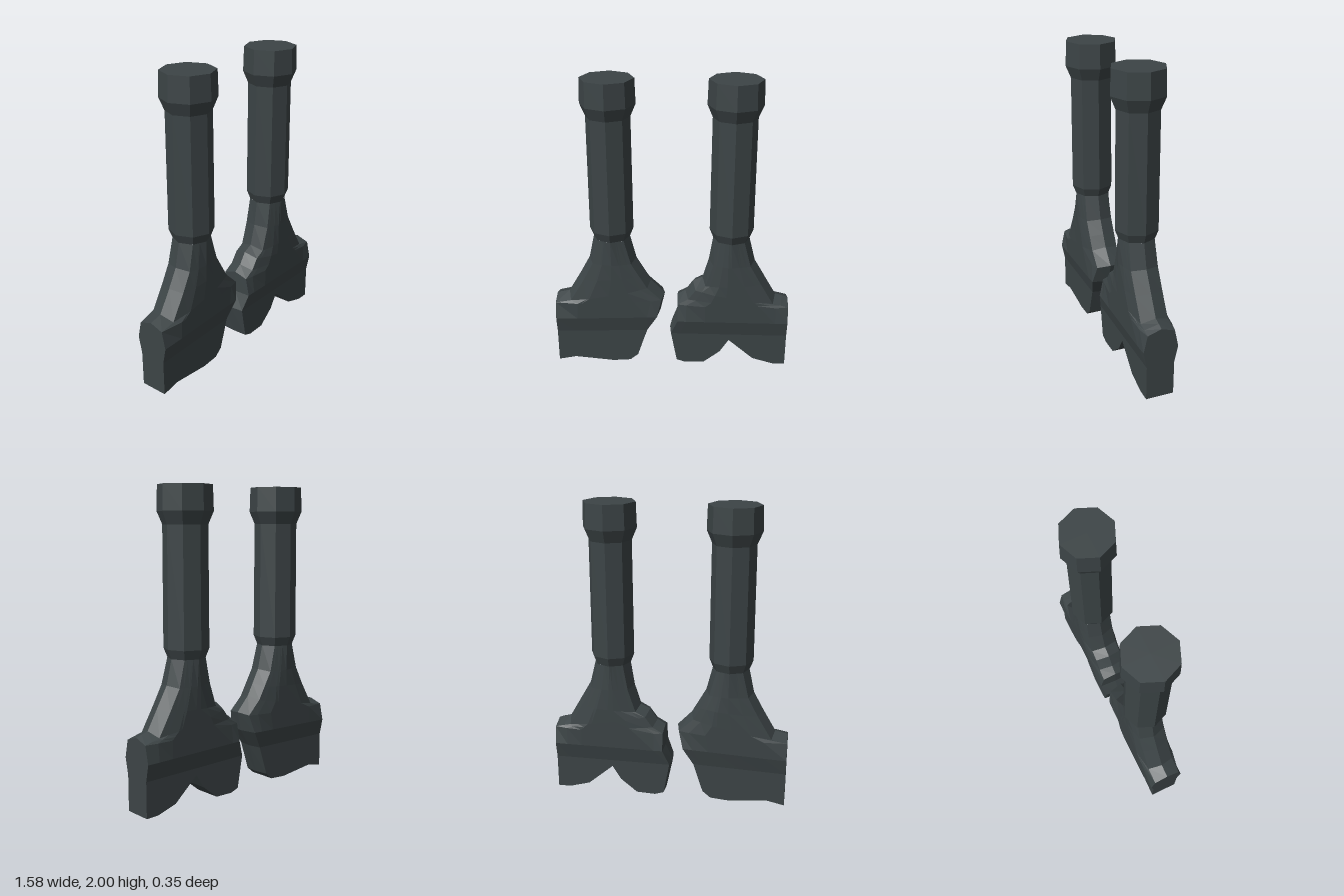
import * as THREE from 'three';

const material = new THREE.MeshStandardMaterial({ color: 0x3c4446, flatShading: true, roughness: 0.9 });
const lerp = THREE.MathUtils.lerp;

// Height of a polyline of [x, y] points at x
function heightAt(line, x) {
  for (let i = 1; i < line.length; i++) {
    const [x0, y0] = line[i - 1], [x1, y1] = line[i];
    if (x <= x1 + 1e-6) return lerp(y0, y1, (x - x0) / (x1 - x0));
  }
  return line[line.length - 1][1];
}

// Octagonal handle with a flared collar and a tapered neck
function makeHandle(x) {
  const profile = [[0, 0.94], [0.12, 0.94], [0.144, 1.0], [0.141, 1.76], [0.175, 1.84], [0.17, 2], [0, 2]]
    .map(([r, y]) => new THREE.Vector2(r, y));
  const mesh = new THREE.Mesh(new THREE.LatheGeometry(profile, 8), material);
  mesh.position.x = x;
  mesh.name = 'handle';
  return mesh;
}

// Blade lofted from rows running down from the neck.
// left/right: [x, y, dx, dy] = ridge of the rim and offset to its face corner.
// depth: [z at rim, z at plateau, plateau share of the width]. bottom: lower edge.
function makeBlade({ left, right, depth, bottom }) {
  const x0 = bottom[0][0], x1 = bottom[bottom.length - 1][0];
  const cuts = [0.25, 0.5, 0.75, ...bottom.map(([x]) => (x - x0) / (x1 - x0))];
  const ts = cuts.sort((a, b) => a - b).filter((t, i) => i === 0 || t - cuts[i - 1] > 0.004);
  const n = ts.length, ring = 2 * n + 2, rows = left.length;
  const pos = [], index = [];

  left.forEach(([lx, ly, ldx, ldy], i) => {
    const [rx, ry, rdx, rdy] = right[i];
    const [zRim, zMid, plateau] = depth[i];
    const face = ts.map((t) => {
      const x = lerp(lx + ldx, rx + rdx, t);
      const y = i === rows - 1 ? heightAt(bottom, lerp(x0, x1, t)) : lerp(ly + ldy, ry + rdy, t);
      const rise = Math.min(1, (1 - Math.abs(2 * t - 1)) / Math.max(1 - plateau, 0.001));
      return [x, y, lerp(zRim, zMid, rise)];
    });
    pos.push(lx, ly, 0);
    face.forEach((p) => pos.push(...p));
    pos.push(rx, ry, 0);
    face.reverse().forEach(([x, y, z]) => pos.push(x, y, -z));
  });

  // Skin between neighbouring rows
  for (let i = 0; i < rows - 1; i++) {
    for (let j = 0; j < ring; j++) {
      const k = (j + 1) % ring;
      const a = i * ring + j, b = i * ring + k, c = a + ring, d = b + ring;
      index.push(a, c, d, a, d, b);
    }
  }
  // Underside
  const base = (rows - 1) * ring;
  const front = (j) => base + 1 + j, back = (j) => base + ring - 1 - j;
  for (let j = 0; j < n - 1; j++) {
    index.push(front(j), back(j), back(j + 1), front(j), back(j + 1), front(j + 1));
  }
  index.push(base, back(0), front(0), base + n + 1, front(n - 1), back(n - 1));

  const geometry = new THREE.BufferGeometry();
  geometry.setAttribute('position', new THREE.Float32BufferAttribute(pos, 3));
  geometry.setIndex(index);
  geometry.computeVertexNormals();
  const mesh = new THREE.Mesh(geometry, material);
  mesh.name = 'blade';
  return mesh;
}

// Blade with a full lower edge
const plainBlade = {
  left: [[-0.52, 0.94, 0.035, 0], [-0.555, 0.78, 0.03, -0.01], [-0.62, 0.66, 0.03, -0.015],
    [-0.705, 0.515, 0.02, -0.03], [-0.79, 0.495, 0, -0.03], [-0.79, 0.35, 0, 0],
    [-0.79, 0.24, 0, 0], [-0.79, 0.005, 0, 0]],
  right: [[-0.28, 0.94, -0.035, 0], [-0.24, 0.78, -0.03, -0.01], [-0.19, 0.69, -0.025, -0.015],
    [-0.145, 0.61, -0.02, -0.02], [-0.05, 0.51, -0.02, -0.01], [-0.08, 0.38, -0.02, 0],
    [-0.155, 0.26, -0.015, 0], [-0.225, 0.06, -0.01, 0]],
  depth: [[0.085, 0.12, 0], [0.09, 0.117, 0.25], [0.09, 0.117, 0.4], [0.09, 0.117, 0.5],
    [0.09, 0.117, 0.65], [0.115, 0.117, 1], [0.092, 0.092, 1], [0.092, 0.092, 1]],
  bottom: [[-0.79, 0.005], [-0.67, 0.03], [-0.4, 0.005], [-0.28, 0.015], [-0.225, 0.06]],
};

// Blade with a stepped shoulder and a notch in the lower edge
const notchedBlade = {
  left: [[0.27, 0.94, 0.035, 0], [0.245, 0.78, 0.03, -0.01], [0.205, 0.64, 0.02, -0.025],
    [0.14, 0.61, 0.02, -0.03], [0.09, 0.535, 0.02, -0.025], [0.035, 0.5, 0.005, -0.03],
    [0.035, 0.35, 0.005, 0], [-0.015, 0.24, 0.01, 0], [0.03, 0.025, 0.005, 0]],
  right: [[0.51, 0.94, -0.035, 0], [0.55, 0.78, -0.03, -0.01], [0.625, 0.65, -0.03, -0.015],
    [0.7, 0.52, -0.02, -0.03], [0.745, 0.508, -0.01, -0.03], [0.785, 0.495, 0, -0.03],
    [0.785, 0.35, 0, 0], [0.785, 0.24, 0, 0], [0.785, 0.01, 0, 0]],
  depth: [[0.085, 0.12, 0], [0.09, 0.117, 0.25], [0.09, 0.117, 0.4], [0.09, 0.117, 0.5],
    [0.09, 0.117, 0.55], [0.09, 0.117, 0.65], [0.115, 0.117, 1], [0.092, 0.092, 1], [0.092, 0.092, 1]],
  bottom: [[0.03, 0.025], [0.09, 0.005], [0.22, 0.01], [0.33, 0.1], [0.39, 0.195],
    [0.56, 0.05], [0.7, 0.01], [0.785, 0.01]],
};

export function createModel() {
  const model = new THREE.Group();
  model.name = 'toolPair';
  for (const [name, x, blade] of [['plainTool', -0.4, plainBlade], ['notchedTool', 0.39, notchedBlade]]) {
    const tool = new THREE.Group();
    tool.name = name;
    tool.add(makeHandle(x), makeBlade(blade));
    model.add(tool);
  }
  return model;
}
